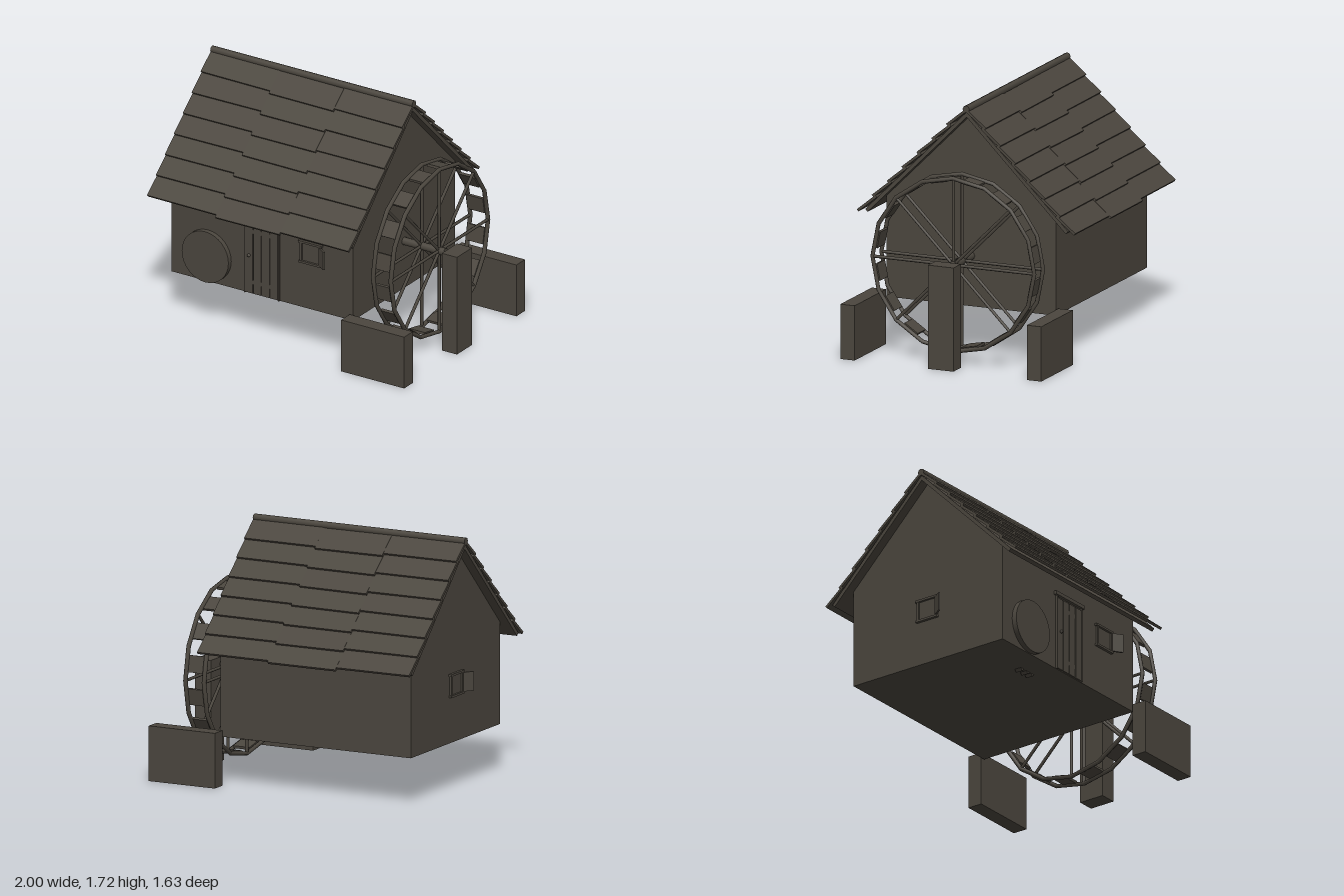
import * as THREE from 'three';

const timber = new THREE.MeshStandardMaterial({ color: 0x4b463e });
timber.name = 'dark timber';

function add(parent, name, geometry, x = 0, y = 0, z = 0) {
  const mesh = new THREE.Mesh(geometry, timber);
  mesh.name = name;
  mesh.position.set(x, y, z);
  parent.add(mesh);
  return mesh;
}

// Box given by its lower and upper corners
function block(parent, name, [x0, y0, z0], [x1, y1, z1]) {
  return add(parent, name, new THREE.BoxGeometry(x1 - x0, y1 - y0, z1 - z0),
    (x0 + x1) / 2, (y0 + y1) / 2, (z0 + z1) / 2);
}

function group(parent, name, x, y, z) {
  const g = new THREE.Group();
  g.name = name;
  g.position.set(x, y, z);
  parent.add(g);
  return g;
}

function seeded(seed) {
  return () => (seed = (seed * 16807) % 2147483647) / 2147483647;
}

// Gabled house body, extruded along x
function buildHouse(model) {
  const gable = new THREE.Shape([
    [-0.62, 0.33], [0.62, 0.33], [0.62, 1.03], [0, 1.655], [-0.62, 1.03],
  ].map(([z, y]) => new THREE.Vector2(z, y)));
  const walls = new THREE.ExtrudeGeometry(gable, { depth: 1.44, bevelEnabled: false });
  walls.rotateY(Math.PI / 2);
  add(model, 'houseWalls', walls, -0.92, 0, 0);
}

// One roof slope: a slab under seven lapped rows of three wide boards
function buildSlope(model, side, rand) {
  const turn = group(model, side > 0 ? 'frontRoof' : 'backRoof', -0.2, 1.675, 0);
  turn.rotation.y = side > 0 ? 0 : Math.PI;
  const slope = group(turn, 'roofSlope', 0, 0, 0);
  slope.rotation.x = Math.PI / 4;
  block(slope, 'roofSlab', [-0.79, -0.025, 0], [0.79, 0, 1.05]);
  const columns = [[-0.8, -0.25, 0], [-0.25, 0.26, 0.022], [0.26, 0.8, 0.006]];
  for (const [x0, x1, drop] of columns) {
    for (let row = 0; row < 7; row++) {
      const board = add(slope, 'roofBoard', new THREE.BoxGeometry(x1 - x0, 0.018, 0.175),
        side * (x0 + x1) / 2, 0.018 + drop * 0.15, row * 0.154 + 0.077 + drop);
      board.rotation.set(-0.1, (rand() - 0.5) * 0.012, (rand() - 0.5) * 0.006);
    }
  }
}

function buildRoof(model) {
  const rand = seeded(41);
  buildSlope(model, 1, rand);
  buildSlope(model, -1, rand);
  const ridge = add(model, 'ridgePole', new THREE.CylinderGeometry(0.025, 0.025, 1.6, 8), -0.2, 1.695, 0);
  ridge.rotation.z = Math.PI / 2;
}

// Plank door with lintel and knob
function buildDoor(model) {
  const door = group(model, 'door', -0.198, 0, 0.62);
  for (let i = 0; i < 4; i++) {
    const x = -0.132 + i * 0.067;
    block(door, 'doorPlank', [x, 0.335, 0], [x + 0.06, 0.85, 0.012]);
  }
  for (const y of [0.4, 0.77]) block(door, 'doorBrace', [-0.13, y, 0], [0.13, y + 0.03, 0.008]);
  for (const x of [-0.137, 0.132]) block(door, 'doorPost', [x, 0.33, 0], [x + 0.008, 0.865, 0.016]);
  block(door, 'doorLintel', [-0.157, 0.865, 0], [0.153, 0.89, 0.022]);
  add(door, 'doorKnob', new THREE.SphereGeometry(0.012, 8, 6), -0.097, 0.61, 0.018);
}

// Framed window with one shutter standing open
function buildWindow(model, name, x, y, z, turn) {
  const win = group(model, name, x, y, z);
  win.rotation.y = turn;
  block(win, 'lintel', [-0.095, 0.065, 0], [0.09, 0.08, 0.02]);
  block(win, 'sill', [-0.09, -0.08, 0], [0.085, -0.065, 0.02]);
  for (const s of [-0.075, 0.075]) block(win, 'jamb', [s - 0.008, -0.065, 0], [s + 0.008, 0.065, 0.016]);
  block(win, 'pane', [-0.067, -0.065, 0], [0.067, 0.065, 0.004]);
  const hinge = group(win, 'shutter', 0.08, 0, 0.012);
  hinge.rotation.y = -0.6;
  block(hinge, 'shutterBoard', [0, -0.065, 0], [0.075, 0.065, 0.012]);
}

// Water wheel: two sixteen-sided rims, crossed spokes, paddles and axle
function buildWheel(model) {
  const wheel = group(model, 'waterWheel', 0.73, 0.675, 0);
  for (const x of [-0.07, 0.07]) {
    const rim = add(wheel, 'wheelRim', new THREE.TorusGeometry(0.592, 0.015, 6, 16), x);
    rim.rotation.y = Math.PI / 2;
    for (let i = 0; i < 4; i++) {
      const spoke = add(wheel, 'wheelSpoke', new THREE.CylinderGeometry(0.011, 0.011, 1.18, 6), x);
      spoke.rotation.x = i * Math.PI / 4;
    }
  }
  for (let i = 0; i < 16; i++) {
    const a = (i + 0.5) * Math.PI / 8;
    const paddle = add(wheel, 'wheelPaddle', new THREE.BoxGeometry(0.125, 0.018, 0.115),
      0, Math.cos(a) * 0.57, Math.sin(a) * 0.57);
    paddle.rotation.x = a;
  }
  const axle = add(wheel, 'wheelAxle', new THREE.CylinderGeometry(0.028, 0.028, 0.34, 8), -0.05);
  axle.rotation.z = Math.PI / 2;
}

export function createModel() {
  const model = new THREE.Group();
  model.name = 'watermill';
  buildHouse(model);
  buildRoof(model);
  buildDoor(model);
  buildWindow(model, 'frontWindow', 0.19, 0.74, 0.62, 0);
  buildWindow(model, 'sideWindow', -0.92, 0.72, 0, -Math.PI / 2);
  buildWheel(model);

  // Millstone leaning against the front wall
  const stone = add(model, 'millstone', new THREE.CylinderGeometry(0.185, 0.185, 0.035, 32), -0.63, 0.52, 0.6375);
  stone.rotation.x = Math.PI / 2;

  // Channel walls and wheel pier
  block(model, 'frontChannelWall', [0.5, 0, 0.63], [1, 0.375, 0.735]);
  block(model, 'backChannelWall', [0.5, 0, -0.735], [1, 0.375, -0.63]);
  block(model, 'wheelPier', [0.88, 0, -0.093], [1, 0.71, 0.093]);

  // Pegs showing through the floor
  for (const x of [-0.47, -0.41, -0.36]) {
    const peg = add(model, 'floorPeg', new THREE.BoxGeometry(0.025, 0.025, 0.05), x, 0.33, 0.42);
    peg.rotation.z = Math.PI / 4;
  }
  return model;
}
